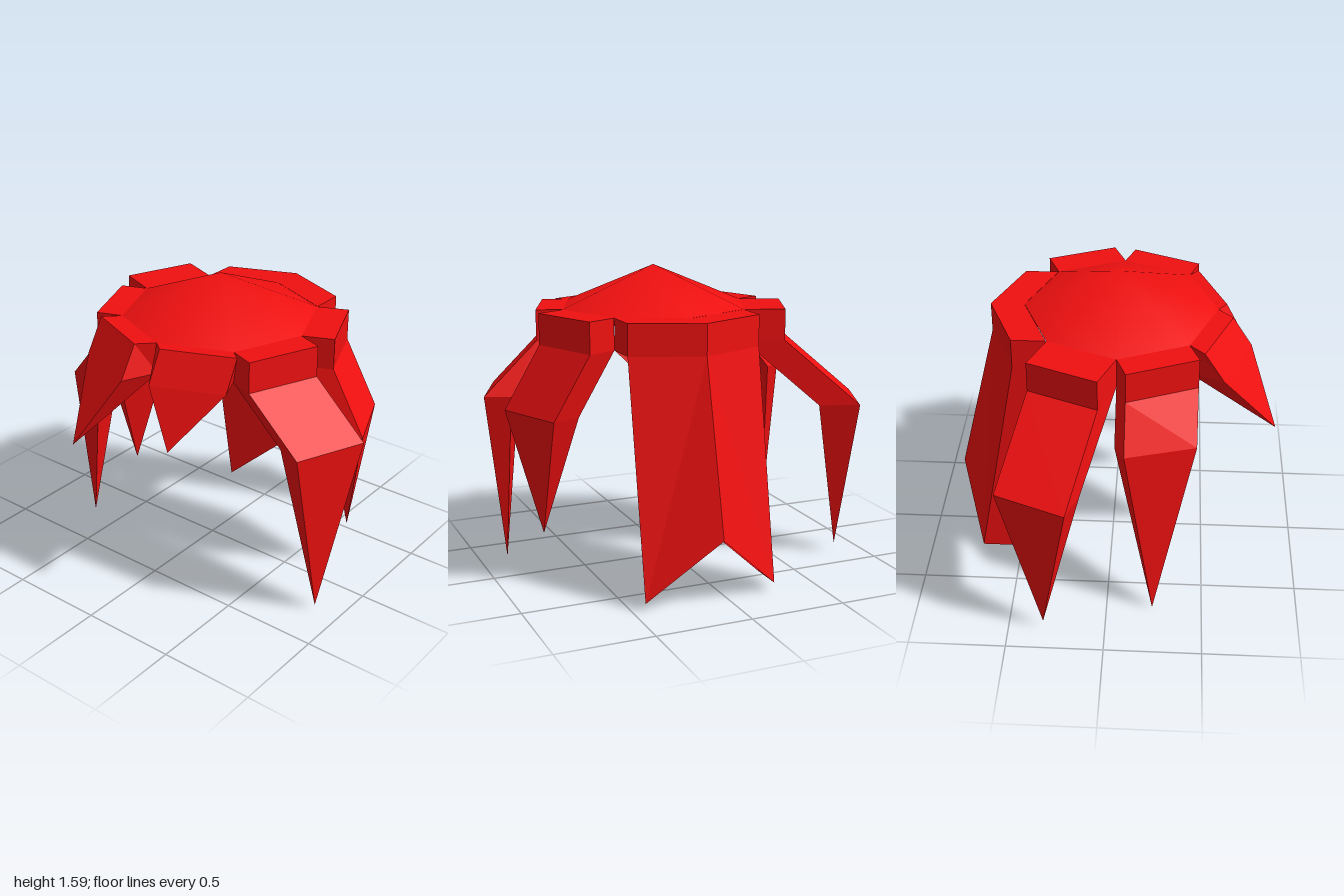
import * as THREE from 'three';
import { mergeVertices } from 'three/addons/utils/BufferGeometryUtils.js';

const red = new THREE.MeshStandardMaterial({ color: 0xf01010, flatShading: true });
const redOpen = new THREE.MeshStandardMaterial({ color: 0xf01010, flatShading: true, side: THREE.DoubleSide });
const redSmooth = new THREE.MeshStandardMaterial({ color: 0xf01010, side: THREE.DoubleSide });
const TOP = 1.383, LOW = 1.222, CX = 0.082, CZ = 0.036, R = 0.5;

// Corner k of the octagonal crown edge, counted from +x towards +z.
function corner(k) {
  const a = k * Math.PI / 4;
  return [CX + R * Math.cos(a), CZ + R * Math.sin(a)];
}

// Flat-shaded skin over four-cornered sections (inner A, inner B, outer B, outer A).
function loft(name, sections, { skip = [], caps = true, material = red } = {}) {
  const tris = [];
  const quad = (a, b, c, d) => tris.push([a, b, c], [a, c, d]);
  const rings = sections.map(s => s.map(p => new THREE.Vector3(...p)));
  for (let i = 0; i + 1 < rings.length; i++) {
    for (let s = 0; s < 4; s++) {
      if (skip.includes(s)) continue;
      const n = (s + 1) % 4;
      quad(rings[i][s], rings[i][n], rings[i + 1][n], rings[i + 1][s]);
    }
  }
  if (caps) {
    quad(rings[0][3], rings[0][2], rings[0][1], rings[0][0]);
    quad(...rings[rings.length - 1]);
  }

  // Turn the skin outwards and drop collapsed triangles.
  const all = rings.flat();
  const mid = all.reduce((m, p) => m.add(p), new THREE.Vector3()).divideScalar(all.length);
  let volume = 0;
  const solid = tris.filter(([a, b, c]) => {
    const area = b.clone().sub(a).cross(c.clone().sub(a));
    volume += area.dot(a.clone().sub(mid));
    return area.length() > 1e-6;
  });
  const points = solid.flatMap(([a, b, c]) => (volume < 0 ? [a, c, b] : [a, b, c]));
  const geo = new THREE.BufferGeometry().setFromPoints(points);
  geo.computeVertexNormals();
  const mesh = new THREE.Mesh(geo, material);
  mesh.name = name;
  return mesh;
}

// Root section: edge k at height y, pushed outwards by [x, z].
function root(k, y, [ox, oz]) {
  const [ax, az] = corner(k), [bx, bz] = corner(k + 1);
  return [[ax, y, az], [bx, y, bz], [bx + ox, y, bz + oz], [ax + ox, y, az + oz]];
}

const shift = (section, [x, y, z]) => section.map(p => [p[0] + x, p[1] + y, p[2] + z]);
const point = tip => [tip, tip, tip, tip];

// Shallow crown, smooth across its ridges and point
function crown() {
  const cone = new THREE.ConeGeometry(R, 0.21, 8, 1, true);
  cone.deleteAttribute('normal');
  cone.deleteAttribute('uv');
  const geo = mergeVertices(cone);
  geo.computeVertexNormals();
  const mesh = new THREE.Mesh(geo, redSmooth);
  mesh.position.set(CX, TOP + 0.105, CZ);
  mesh.name = 'crown';
  return mesh;
}

export function createModel() {
  const model = new THREE.Group();
  model.name = 'spikyHair';
  model.add(crown());

  // Long side locks: block at the crown, slanted piece, then a spike.
  // twist moves one corner of the knee: [corner, x, z]
  const sideLocks = [
    { name: 'frontLeftLock', k: 0, out: [0.13, 0.05], bend: [0.285, -0.27, 0], tip: [0.86, 0.02, 0.24] },
    { name: 'frontRightLock', k: 3, out: [-0.13, 0.05], bend: [-0.185, -0.23, 0], tip: [-0.68, 0, 0.24], twist: [2, 0.045, 0] },
    { name: 'backRightLock', k: 4, out: [-0.2, -0.08], bend: [-0.382, -0.35, -0.135], tip: [-0.85, 0.04, -0.32], twist: [0, -0.045, -0.02] },
    { name: 'backLeftLock', k: 7, out: [0.15, -0.065], bend: [0.19, -0.32, 0], tip: [0.775, 0.275, -0.17] }
  ];
  for (const { name, k, out, bend, tip, twist: [c, dx, dz] = [0, 0, 0] } of sideLocks) {
    const low = root(k, LOW, out);
    const knee = shift(low, bend);
    knee[c][0] += dx;
    knee[c][2] += dz;
    model.add(loft(name, [root(k, TOP, out), low, knee, point(tip)]));
  }

  // Short fringe spikes with sloping fronts
  const fringe = [
    { name: 'leftFringe', k: 1, top: [0.056, 0.045], low: [0.056, 0.13], tip: [0.29, 0.93, 0.715] },
    { name: 'rightFringe', k: 2, top: [-0.077, 0.075], low: [-0.077, 0.177], tip: [-0.21, 0.86, 0.85] }
  ];
  for (const { name, k, top, low, tip } of fringe) {
    model.add(loft(name, [root(k, TOP, top), root(k, LOW, low), point(tip)]));
  }

  // Long back lock: two halves meeting at the middle, hollowed under the crown
  for (const side of [-1, 1]) {
    const x = CX + side * 0.353;
    const section = (y, zEdge, zMid, depth, yMid = y) => [
      [x, y, zEdge], [CX, yMid, zMid], [CX, yMid, zMid - depth], [x, y, zEdge - depth]
    ];
    const top = section(TOP, -0.32, -0.465, 0.175);
    const low = section(LOW, -0.32, -0.465, 0.175);
    const hollow = low.map(p => [...p]);
    hollow[1] = [CX, 0.82, -0.68];
    const end = section(0.037, -0.53, -0.67, 0.18, 0.355);
    const half = side < 0 ? 'Right' : 'Left';
    const open = { caps: false, material: redOpen };
    model.add(loft('backRoot' + half, [top, low], { skip: [1], material: redOpen }));
    model.add(loft('backHollow' + half, [low, hollow], { ...open, skip: [1, 2, 3] }));
    // the left half is a single sheet, the right half a sleeve
    model.add(loft('backLock' + half, [hollow, end], { ...open, skip: side > 0 ? [0, 1, 3] : [1] }));
  }
  return model;
}
